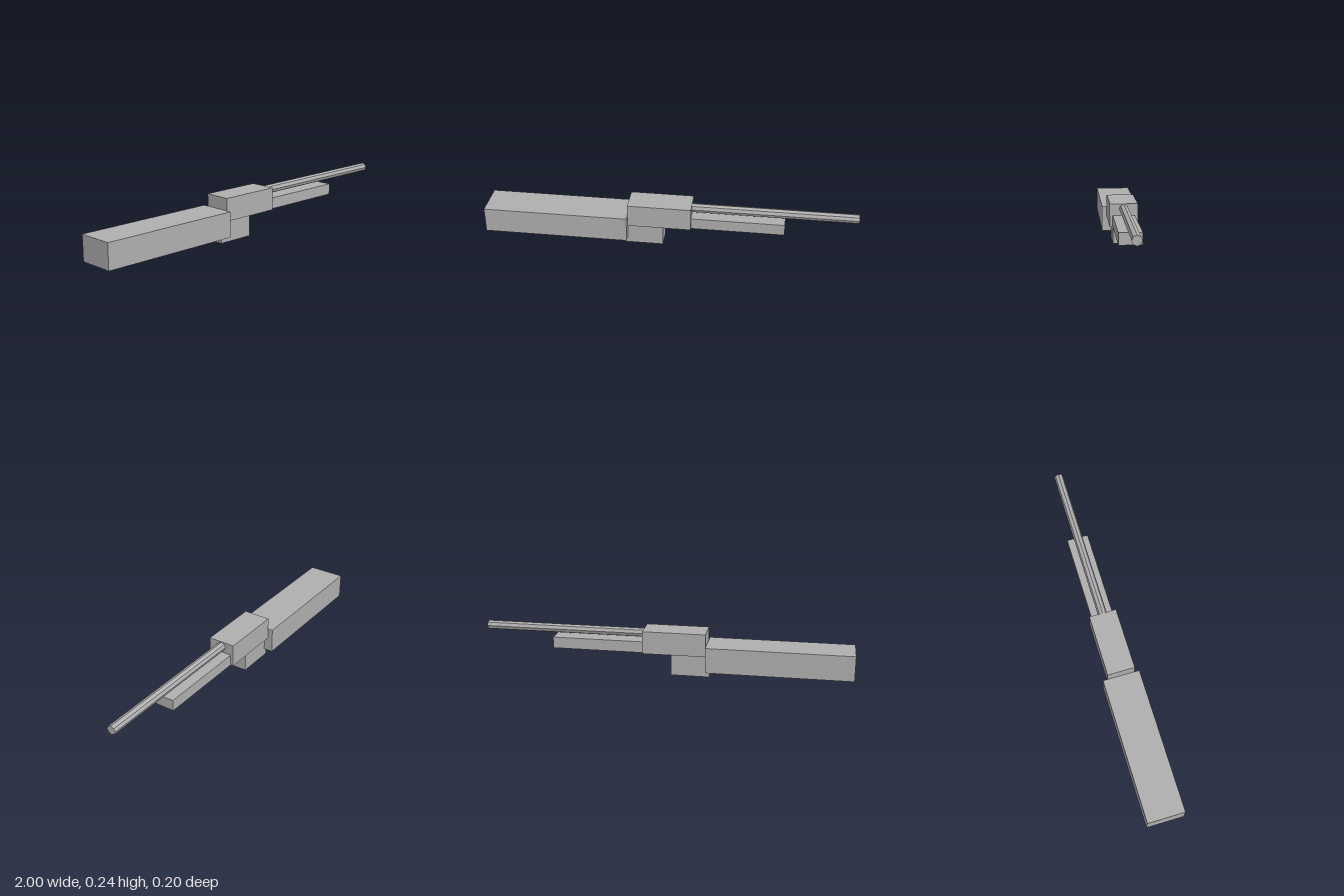
import * as THREE from 'three';

export function createModel() {
  const group = new THREE.Group();
  const grey = new THREE.MeshStandardMaterial({ color: 0xb0b0b0, flatShading: true });
  grey.name = 'plain grey';

  // Block spanning x0..x1 and y0..y1, centred on z = 0
  const addBlock = (name, x0, x1, y0, y1, depth) => {
    const mesh = new THREE.Mesh(new THREE.BoxGeometry(x1 - x0, y1 - y0, depth), grey);
    mesh.name = name;
    mesh.position.set((x0 + x1) / 2, (y0 + y1) / 2, 0);
    group.add(mesh);
  };

  addBlock('rearStock', -1, -0.222, 0.04, 0.177, 0.2);
  addBlock('centreBody', -0.22, 0.12, 0.12, 0.243, 0.148);
  addBlock('lowerBlock', -0.24, -0.032, 0, 0.122, 0.099);
  addBlock('frontRail', 0.12, 0.616, 0.12, 0.181, 0.117);

  // Eight-sided rod with an edge along its top
  const rodGeometry = new THREE.CylinderGeometry(0.0245, 0.0245, 0.88, 8);
  rodGeometry.rotateZ(-Math.PI / 2);
  const rod = new THREE.Mesh(rodGeometry, grey);
  rod.name = 'frontRod';
  rod.position.set(0.56, 0.216, 0);
  group.add(rod);

  return group;
}
